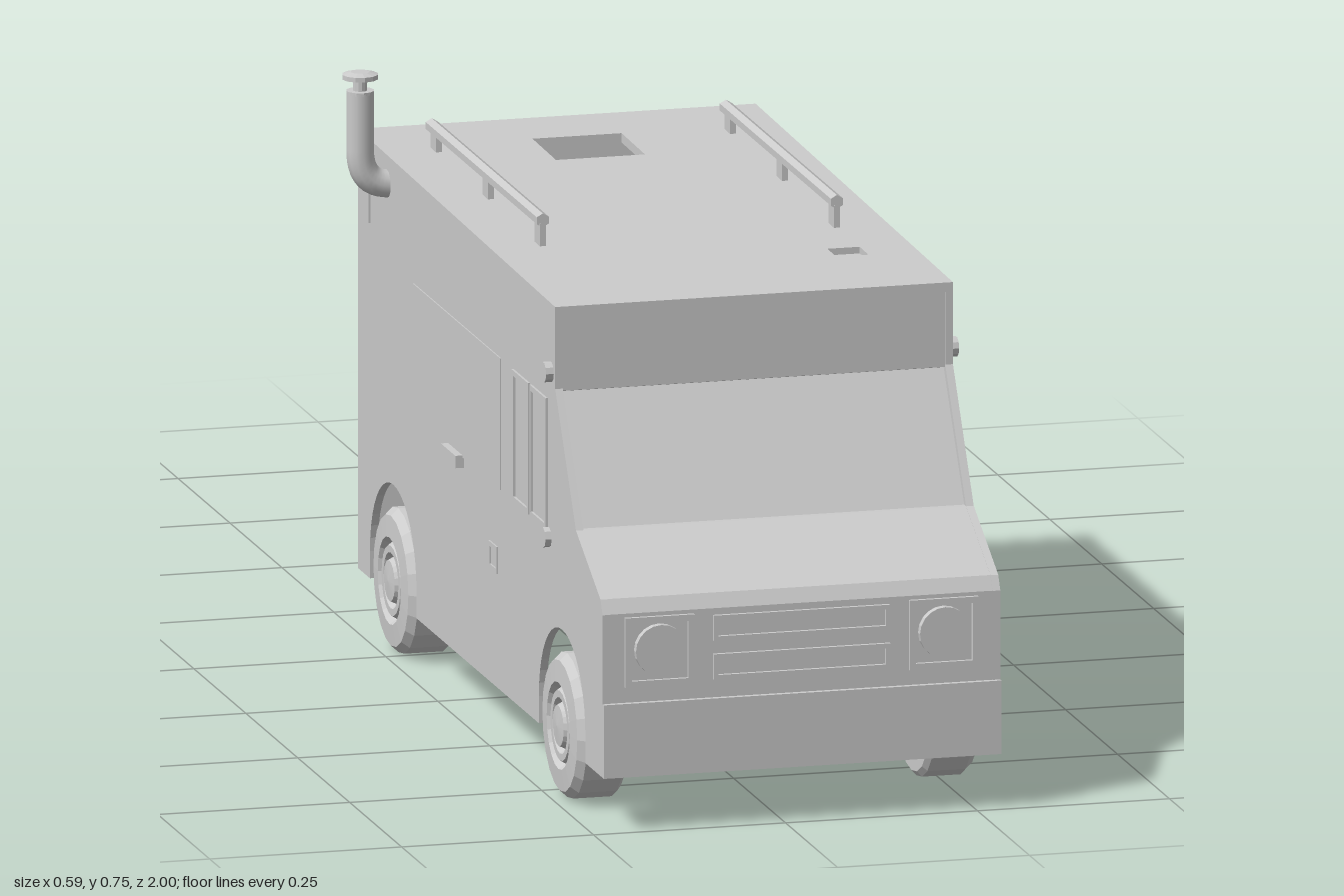
import * as THREE from 'three';

const mat = new THREE.MeshStandardMaterial({ color: 0xcccccc, flatShading: true, side: THREE.DoubleSide });
const smooth = new THREE.MeshStandardMaterial({ color: 0xcccccc, side: THREE.DoubleSide });
const CX = 0.024, HALF = 0.259;            // van centre line and half width
const LEFT = CX + HALF, RIGHT = CX - HALF;

export function createModel() {
  const root = new THREE.Group();

  const add = (name, geo, x = 0, y = 0, z = 0, parent = root, m = mat) => {
    const mesh = new THREE.Mesh(geo, m);
    mesh.name = name;
    mesh.position.set(x, y, z);
    parent.add(mesh);
    return mesh;
  };
  const box = (name, w, h, d, x, y, z, parent) => add(name, new THREE.BoxGeometry(w, h, d), x, y, z, parent);
  const shapeOf = pts => new THREE.Shape(pts.map(p => new THREE.Vector2(...p)));
  const rectPath = (x0, x1, y0, y1) => shapeOf([[x0, y0], [x1, y0], [x1, y1], [x0, y1]]);
  const extrude = (shape, depth) => new THREE.ExtrudeGeometry(shape, { depth, bevelEnabled: false, curveSegments: 10 });
  // shape drawn in (z, y); thickness runs from x = 0 towards -x
  const extrudeX = (shape, depth) => extrude(shape, depth).rotateY(-Math.PI / 2);
  const lathe = (pts, n) => new THREE.LatheGeometry(pts.map(p => new THREE.Vector2(...p)), n);
  const discX = (r, len, n) => new THREE.CylinderGeometry(r, r, len, n).rotateZ(Math.PI / 2);
  const frame = (w, h, t, d) => {
    const s = rectPath(-w / 2, w / 2, -h / 2, h / 2);
    s.holes.push(rectPath(-w / 2 + t, w / 2 - t, -h / 2 + t, h / 2 - t));
    return extrude(s, d);
  };

  // Side walls with wheel arches
  const wheelZ = [0.793, -0.02];
  const side = new THREE.Shape();
  side.moveTo(-0.19, 0.07);
  for (const z of [...wheelZ].reverse()) {
    side.lineTo(z - 0.112, 0.07);
    side.lineTo(z - 0.112, 0.105);
    side.absarc(z, 0.105, 0.112, Math.PI, 0, true);
    side.lineTo(z + 0.112, 0.07);
  }
  [[0.988, 0.07], [0.988, 0.28], [0.978, 0.298], [0.86, 0.36], [0.76, 0.52], [0.76, 0.625], [-0.19, 0.637]]
    .forEach(p => side.lineTo(...p));
  add('leftSideWall', extrudeX(side, 0.01), LEFT);
  add('rightSideWall', extrudeX(side, 0.01), RIGHT + 0.01);

  // Nose, bonnet, recessed windscreen and header as one folded sheet
  const fold = [[0.987, 0.07], [0.987, 0.28], [0.977, 0.298], [0.859, 0.36], [0.851, 0.36], [0.752, 0.515], [0.759, 0.517], [0.759, 0.625]];
  const inner = fold.map(([z, y]) => [z - 0.012, y - 0.004]).reverse();
  add('frontPanel', extrudeX(shapeOf([...fold, ...inner]), 2 * HALF - 0.02), LEFT - 0.01);
  box('frontBumper', 2 * HALF, 0.095, 0.014, CX, 0.1175, 0.987);

  // Headlights and grille
  for (const s of [-1, 1]) {
    const x = CX + s * 0.185;
    add('headlightFrame', frame(0.09, 0.09, 0.008, 0.006), x, 0.23, 0.986);
    add('headlight', new THREE.CylinderGeometry(0.033, 0.033, 0.014, 20).rotateX(Math.PI / 2), x, 0.232, 0.99);
  }
  for (const y of [0.205, 0.255]) add('grilleSlot', frame(0.23, 0.033, 0.006, 0.006), CX, y, 0.986);

  // Roof with open hatch, rising slightly to the rear
  const roof = rectPath(RIGHT, LEFT, -0.19, 0.76);
  roof.holes.push(rectPath(-0.036, 0.08, -0.085, 0.028), rectPath(0.175, 0.217, 0.555, 0.597));
  const roofGeo = extrude(roof, 0.012).rotateX(Math.PI / 2);
  const rp = roofGeo.attributes.position;
  for (let i = 0; i < rp.count; i++) rp.setY(i, rp.getY(i) + 0.626 + (0.76 - rp.getZ(i)) * 0.0125);
  add('roof', roofGeo);
  box('roofVentPanel', 0.042, 0.004, 0.042, 0.196, 0.618, 0.576);

  // Rear wall with two window openings
  const rear = rectPath(RIGHT, LEFT, 0.07, 0.635);
  rear.holes.push(rectPath(0.078, 0.168, 0.452, 0.562), rectPath(-0.125, -0.03, 0.452, 0.562));
  add('rearWall', extrude(rear, 0.012), 0, 0, -0.19);
  for (const s of [-1, 1]) {
    box('tailLight', 0.034, 0.085, 0.006, CX + s * 0.225, 0.25, -0.19);
    box('rearMarker', 0.034, 0.04, 0.006, CX + s * 0.225, 0.59, -0.19);
  }
  add('towRing', new THREE.TorusGeometry(0.016, 0.006, 8, 14), 0.03, 0.14, -0.195);
  add('towBoss', new THREE.CylinderGeometry(0.008, 0.008, 0.02, 10).rotateX(Math.PI / 2), 0.03, 0.14, -0.195);

  // Side fittings, the same on both flanks
  for (const s of [-1, 1]) {
    const X = CX + s * HALF;
    for (const z of [0.6, 0.685]) {
      add('cabWindowFrame', frame(0.078, 0.17, 0.007, 0.006).rotateY(Math.PI / 2), X - 0.003, 0.415, z);
    }
    add('sideLamp', discX(0.013, 0.02, 10), X, 0.538, 0.74);
    add('doorHandle', discX(0.013, 0.016, 8), X, 0.322, s > 0 ? 0.6 : 0.73);
    add('fuelFlap', frame(0.04, 0.035, 0.006, 0.004).rotateY(Math.PI / 2), X - 0.002, 0.235, 0.465);
    box('rearSideMarker', 0.005, 0.07, 0.03, X, 0.565, -0.145);
    box('servingHatch', 0.003, 0.17, 0.42, X, 0.415, 0.29);
  }
  box('hatchHandle', 0.018, 0.016, 0.07, RIGHT - 0.002, 0.325, 0.285);

  // Wheels
  const tyre = [[0, -0.034], [0.086, -0.034], [0.093, -0.028], [0.093, 0.022], [0.084, 0.032], [0.056, 0.034],
    [0.05, 0.024], [0.045, 0.032], [0.036, 0.032], [0.031, 0.024], [0.026, 0.034], [0, 0.036]];
  for (const s of [-1, 1]) for (const z of wheelZ) {
    const w = add(z > 0 ? 'frontWheel' : 'rearWheel', lathe(tyre, 20), CX + s * 0.23, 0.093, z);
    w.rotation.z = -s * Math.PI / 2;
  }

  // Roof rails on posts
  for (const x of [-0.168, 0.215]) {
    const rail = new THREE.CylinderGeometry(0.009, 0.009, 0.535, 6).rotateX(Math.PI / 2);
    add('roofRail', rail, x, 0.663, 0.185);
    for (const z of [0.44, 0.19, -0.06]) box('railPost', 0.008, 0.034, 0.026, x, 0.642, z);
  }

  // Exhaust chimney
  const P = (x, y, z) => new THREE.Vector3(x, y, z);
  const elbow = new THREE.CurvePath();
  elbow.add(new THREE.LineCurve3(P(-0.225, 0.598, -0.05), P(-0.24, 0.6, -0.05)));
  elbow.add(new THREE.QuadraticBezierCurve3(P(-0.24, 0.6, -0.05), P(-0.27, 0.605, -0.05), P(-0.27, 0.645, -0.05)));
  elbow.add(new THREE.LineCurve3(P(-0.27, 0.645, -0.05), P(-0.27, 0.72, -0.05)));
  add('chimneyPipe', new THREE.TubeGeometry(elbow, 24, 0.018, 12), 0, 0, 0, root, smooth);
  add('chimneyCap', lathe([[0, 0.722], [0.018, 0.722], [0.018, 0.718], [0.009, 0.722], [0.009, 0.734], [0.023, 0.737], [0.023, 0.743], [0.012, 0.746], [0, 0.746]], 12), -0.27, 0, -0.05);

  // Rear ladder
  const ladder = new THREE.Group();
  ladder.name = 'ladder';
  root.add(ladder);
  const rail = shapeOf([[-0.19, 0.61], [-0.21, 0.605], [-0.226, 0.592], [-0.234, 0.565], [-0.234, 0.21], [-0.21, 0.21], [-0.21, 0.56], [-0.203, 0.585], [-0.19, 0.59]]);
  for (const x of [-0.165, -0.005]) {
    add('ladderRail', extrudeX(rail, 0.014), x + 0.007, 0, 0, ladder);
    for (const y of [0.225, 0.43]) box('ladderBracket', 0.016, 0.026, 0.026, x, y, -0.2, ladder);
  }
  for (let i = 0; i < 4; i++) box('ladderRung', 0.16, 0.014, 0.018, -0.085, 0.235 + i * 0.108, -0.222, ladder);

  // Picnic table: hollow-rimmed top on a flat pedestal
  const table = new THREE.Group();
  table.name = 'table';
  table.position.set(0.055, 0, -0.645);
  root.add(table);
  add('tableTop', lathe([[0, 0.228], [0.09, 0.228], [0.093, 0.217], [0.102, 0.217], [0.105, 0.222], [0.105, 0.236], [0.102, 0.24], [0, 0.24]], 20), 0, 0, 0, table);
  const half = [[0.09, 0], [0.09, 0.012], [0.05, 0.018], [0.026, 0.03], [0.015, 0.055], [0.015, 0.19], [0.022, 0.208], [0.045, 0.228]];
  const mirror = half.map(([z, y]) => [-z, y]).reverse();
  add('tablePedestal', extrudeX(shapeOf([...half, ...mirror, [-0.055, 0], [-0.045, 0.006], [0.045, 0.006], [0.055, 0]]), 0.022), 0.011, 0, 0, table);
  box('tableCrossBrace', 0.14, 0.012, 0.02, 0, 0.222, 0, table);

  // Burger
  add('burger', lathe([[0, 0], [0.028, 0], [0.034, 0.006], [0.035, 0.015], [0.032, 0.017], [0.037, 0.019], [0.037, 0.025],
    [0.033, 0.027], [0.035, 0.031], [0.031, 0.041], [0.018, 0.046], [0, 0.047]], 16), 0.022, 0, -0.433, root, smooth);

  // Drink with lid and bent straw
  add('cup', lathe([[0, 0], [0.017, 0], [0.022, 0.062], [0.026, 0.063], [0.026, 0.071], [0.02, 0.075], [0, 0.075]], 14), 0.023, 0, -0.508);
  const straw = new THREE.CatmullRomCurve3([P(0.023, 0.07, -0.508), P(0.023, 0.095, -0.508), P(0.023, 0.101, -0.512), P(0.023, 0.11, -0.524)]);
  add('straw', new THREE.TubeGeometry(straw, 10, 0.004, 6), 0, 0, 0);

  // Hanging sign lying on the ground: board, stem and loose loop
  box('signBoard', 0.056, 0.011, 0.08, 0.029, 0.016, -0.96);
  box('signStem', 0.01, 0.007, 0.045, 0.03, 0.016, -0.9);
  const loop = [];
  for (let i = 0; i < 12; i++) {
    const a = i * Math.PI / 6;
    loop.push(P(0.029 + 0.018 * Math.cos(a), 0.012 + 0.005 * Math.cos(2 * a), -0.832 + 0.032 * Math.sin(a)));
  }
  add('loop', new THREE.TubeGeometry(new THREE.CatmullRomCurve3(loop, true), 30, 0.003, 6, true));
  box('loopTag', 0.014, 0.006, 0.012, 0.042, 0.014, -0.798);

  return root;
}
